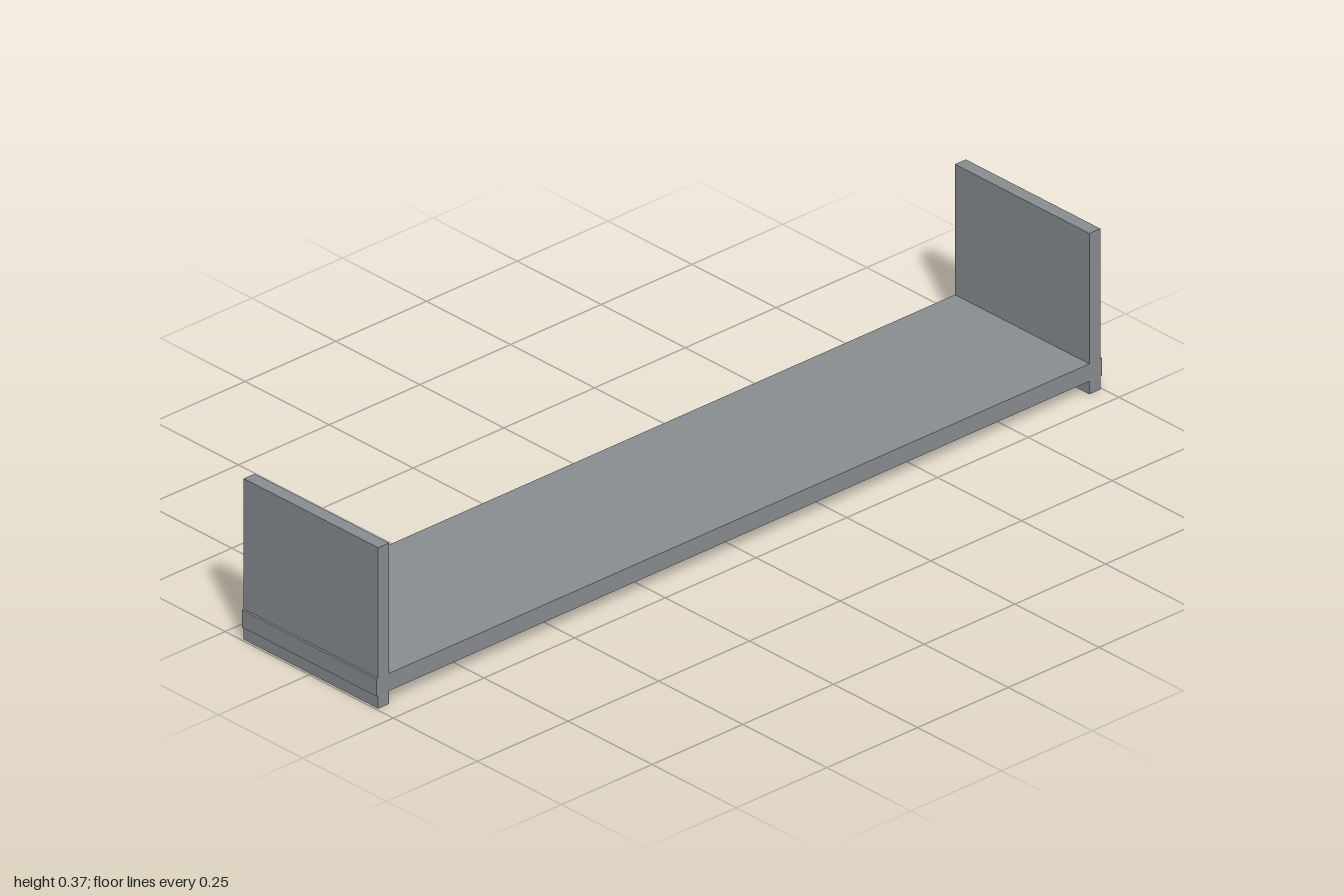
import * as THREE from 'three';

export function createModel() {
  const group = new THREE.Group();
  const grey = new THREE.MeshStandardMaterial({ color: 0x8a8f92 });
  grey.name = 'grey';

  const depth = 0.4;
  const addBoard = (name, width, height, x, bottom) => {
    const mesh = new THREE.Mesh(new THREE.BoxGeometry(width, height, depth), grey);
    mesh.name = name;
    mesh.position.set(x, bottom + height / 2, 0);
    group.add(mesh);
  };

  // Long shelf, its ends poking slightly through the side panels
  addBoard('shelf', 2, 0.04, 0, 0.03);

  // Upright side panels, reaching below the shelf as feet
  for (const [side, name] of [[1, 'leftPanel'], [-1, 'rightPanel']]) {
    addBoard(name, 0.03, 0.37, side * 0.98, 0);
  }

  return group;
}
